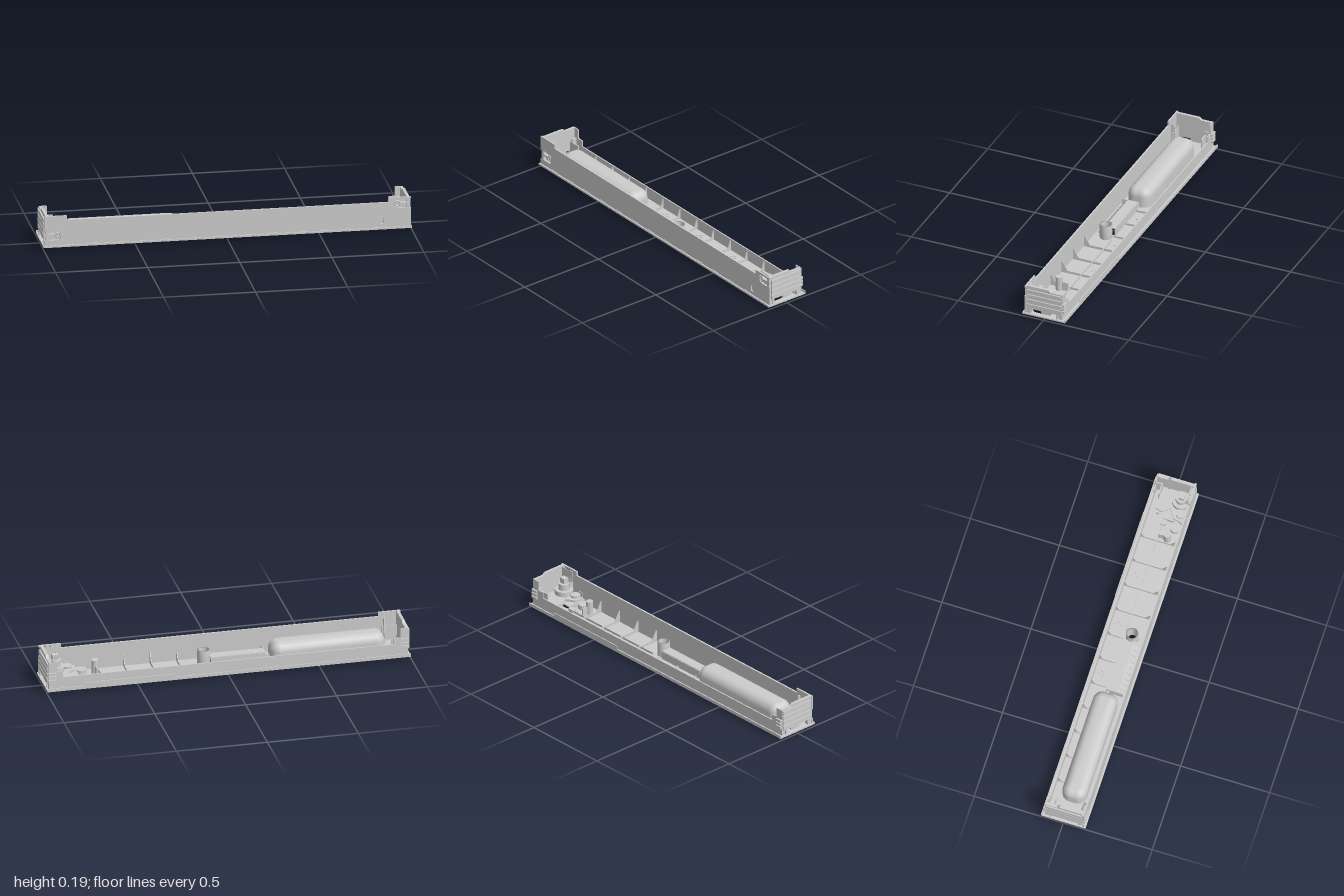
import * as THREE from 'three';

const grey = new THREE.MeshStandardMaterial({ color: 0xcccccc, side: THREE.DoubleSide });
grey.name = 'light grey plastic';

export function createModel() {
  const model = new THREE.Group();
  const add = (name, geo, x = 0, y = 0, z = 0) => {
    const m = new THREE.Mesh(geo, grey);
    m.name = name;
    m.position.set(x, y, z);
    model.add(m);
    return m;
  };
  // Box given by its minimum and maximum corners
  const box = (name, x0, x1, y0, y1, z0, z1) =>
    add(name, new THREE.BoxGeometry(x1 - x0, y1 - y0, z1 - z0), (x0 + x1) / 2, (y0 + y1) / 2, (z0 + z1) / 2);
  const post = (name, x, z, r, y0, y1) =>
    add(name, new THREE.CylinderGeometry(r, r, y1 - y0, 28), x, (y0 + y1) / 2, z);
  const poly = (pts) => new THREE.Shape(pts.map((p) => new THREE.Vector2(...p)));
  const extrude = (shape, depth) =>
    new THREE.ExtrudeGeometry(shape, { depth, bevelEnabled: false, curveSegments: 16 });
  // Horizontal slab from a shape drawn in (x, -z)
  const slab = (name, shape, y0, y1) => add(name, extrude(shape, y1 - y0).rotateX(-Math.PI / 2), 0, y0, 0);
  // Upright plate across the tray from (z, y) points
  const crossPlate = (name, pts, x0, x1) =>
    add(name, extrude(poly(pts.map(([z, y]) => [-z, y])), x1 - x0).rotateY(Math.PI / 2), x0, 0, 0);

  // Points of a rounded rectangle around the origin
  const roundRect = (hx, hz, r, n = 8) => {
    const pts = [];
    [[1, 1], [-1, 1], [-1, -1], [1, -1]].forEach(([sx, sz], q) => {
      for (let i = 0; i <= n; i++) {
        const a = (q + i / n) * Math.PI / 2;
        pts.push([sx * (hx - r) + r * Math.cos(a), sz * (hz - r) + r * Math.sin(a)]);
      }
    });
    return pts;
  };
  const hole = (cx, cz, hx, hz, r) =>
    new THREE.Path(roundRect(hx, hz, r).map(([x, z]) => new THREE.Vector2(cx + x, -cz - z)));
  // Hollow cover, open below, from rounded rings that shrink by [inset, height]
  const cover = (name, cx, cz, hx, hz, r, profile) => {
    const pos = [], idx = [];
    let n = 0;
    profile.forEach(([d, y]) => {
      const ring = roundRect(hx - d, hz - d, Math.max(r - d, 0.008));
      n = ring.length;
      ring.forEach(([x, z]) => pos.push(x, y, z));
    });
    const top = profile.length * n;
    pos.push(0, profile[profile.length - 1][1], 0);
    for (let i = 0; i < n; i++) {
      const j = (i + 1) % n;
      for (let k = 0; k < profile.length - 1; k++) {
        const a = k * n, b = a + n;
        idx.push(a + i, b + i, a + j, a + j, b + i, b + j);
      }
      idx.push(top, top - n + j, top - n + i);
    }
    const g = new THREE.BufferGeometry();
    g.setAttribute('position', new THREE.Float32BufferAttribute(pos, 3));
    g.setIndex(idx);
    g.computeVertexNormals();
    return add(name, g, cx, 0, cz);
  };

  // Floor with openings for the grip, slot, boss and latch
  const floor = poly([[-1, -0.125], [1, -0.125], [1, 0.125], [-1, 0.125]]);
  floor.holes.push(hole(-0.565, 0.012, 0.315, 0.0675, 0.05));
  floor.holes.push(hole(-0.076, 0.043, 0.148, 0.045, 0.02));
  floor.holes.push(hole(0.104, 0.035, 0.025, 0.025, 0.024));
  floor.holes.push(hole(0.89, 0.04, 0.08, 0.045, 0.03));
  slab('floor', floor, 0.012, 0.02);
  // Small pegs in crosses
  for (const cx of [-0.13, 0.165, 0.455])
    for (const [dx, dz] of [[0.015, 0], [-0.015, 0], [0, 0.015], [0, -0.015]])
      post('crossPeg', cx + dx, -0.06 + dz, 0.008, 0.018, 0.024);

  // Long front wall with raised ends and open notches near both ends
  const front = poly([
    [-0.995, 0.018], [0.995, 0.018], [0.995, 0.125], [0.93, 0.125], [0.905, 0.135], [0.905, 0.168],
    [0.93, 0.176], [0.995, 0.176], [0.995, 0.185], [0.873, 0.185], [0.873, 0.16],
    [-0.873, 0.16], [-0.873, 0.185], [-0.995, 0.185], [-0.995, 0.105], [-0.915, 0.105],
    [-0.905, 0.095], [-0.905, 0.06], [-0.915, 0.05], [-0.995, 0.05]]);
  front.holes.push(new THREE.Path([[0.83, 0.04], [0.848, 0.04], [0.848, 0.072], [0.83, 0.072]]
    .map((p) => new THREE.Vector2(...p))));
  add('frontWall', extrude(front, 0.01), 0, 0, 0.104);
  box('frontSlotBack', 0.825, 0.853, 0.035, 0.077, 0.1, 0.104);
  box('frontRightRecess', 0.89, 0.985, 0.12, 0.18, 0.09, 0.094);
  box('frontLeftRecess', -0.985, -0.89, 0.045, 0.11, 0.09, 0.094);
  for (const [x, y] of [[0.922, 0.15], [-0.922, 0.078]]) {
    add('recessRing', new THREE.TorusGeometry(0.014, 0.004, 8, 24), x, y, 0.11);
    add('recessPin', new THREE.CylinderGeometry(0.008, 0.008, 0.02, 20).rotateX(Math.PI / 2), x, y, 0.102);
    box('recessRail', x > 0 ? 0.935 : -0.99, x > 0 ? 0.99 : -0.935, y - 0.005, y + 0.005, 0.094, 0.112);
  }

  // Back wall set in from the flange, with thin flange lips
  box('backWall', -0.985, 0.985, 0.018, 0.085, -0.106, -0.099);
  box('backLip', -1, 1, 0.018, 0.03, -0.125, -0.12);
  box('backLipRise', 0.3, 0.8, 0.028, 0.048, -0.125, -0.12);
  box('frontLip', -1, 1, 0.018, 0.022, 0.119, 0.125);
  for (let i = 0; i < 13; i++) box('frontClip', -0.9 + i * 0.14, -0.85 + i * 0.14, 0.02, 0.024, 0.113, 0.118);

  // End walls: stepped top, feet below, and shallow horizontal bands
  for (const s of [-1, 1]) {
    const span = (a, b) => (s > 0 ? [a, b] : [-b, -a]);
    crossPlate('endWall', [
      [0.114, 0.018], [0.114, 0.185], [-0.025, 0.185], [-0.04, 0.173], [-0.104, 0.173], [-0.104, 0.018],
      [-0.085, 0.018], [-0.08, 0.046], [-0.042, 0.046], [-0.035, 0.03], [0.015, 0.03],
      [0.022, 0.046], [0.075, 0.046], [0.08, 0.018]], ...span(0.972, 0.988));
    for (let i = 0; i < 4; i++) {
      const y = 0.052 + i * 0.0295;
      box('endBand', ...span(0.986, 0.996), y, y + 0.025, -0.1, 0.1);
      if (i < 3) box('backBand', ...span(0.95, 0.99), 0.061 + i * 0.02, 0.075 + i * 0.02, -0.116, -0.104);
    }
    for (const z of [-0.075, 0.085]) box('endFoot', ...span(0.975, 0.993), 0.018, 0.05, z - 0.005, z + 0.005);
    box('backReturn', ...span(0.945, 0.988), 0.08, 0.173, -0.106, -0.099);
    box('backReturnLow', ...span(0.91, 0.95), 0.08, 0.12, -0.106, -0.099);
    box('cornerBracket', ...span(0.905, 0.975), 0.02, 0.1, -0.075, -0.068);
    box('cornerBracketSide', ...span(0.955, 0.962), 0.02, 0.12, -0.1, -0.07);
    crossPlate('cornerGusset', [[0.105, 0.02], [0.105, 0.155], [0.09, 0.155], [0.07, 0.02]], ...span(0.9, 0.907));
  }

  // Cross ribs: low strips with gussets rising on the front and back walls
  for (let i = 0; i < 11; i++) {
    const x = -0.787 + i * 0.146;
    const overGrip = x < -0.25, overSlot = !overGrip && x < 0.14;
    const back = [[-0.1, 0.02], [-0.1, 0.078], [-0.094, 0.078], [-0.08, 0.034]];
    if (overGrip) crossPlate('rib', [...back, [-0.055, 0.03], [-0.055, 0.02]], x, x + 0.004);
    else if (overSlot) crossPlate('rib', [...back, [-0.004, 0.03], [-0.004, 0.02]], x, x + 0.004);
    else crossPlate('rib', [...back, [0.07, 0.034], [0.098, 0.085], [0.105, 0.085], [0.105, 0.02]], x, x + 0.004);
  }
  box('longRib', 0.14, 0.8, 0.02, 0.032, -0.012, -0.008);

  // Hollow rounded grip
  cover('gripPocket', -0.565, 0.012, 0.315, 0.0675, 0.05,
    [[0, 0.014], [0, 0.078], [0.004, 0.095], [0.013, 0.11], [0.026, 0.12], [0.042, 0.125]]);

  // Slot hood, its comb of teeth, and the open boss at its end
  box('hoodTop', -0.225, 0.075, 0.062, 0.067, -0.003, 0.054);
  box('hoodBack', -0.225, 0.075, 0.014, 0.064, -0.006, -0.001);
  box('hoodEnd', -0.228, -0.223, 0.014, 0.065, -0.004, 0.088);
  crossPlate('hoodSlope', [[0.054, 0.067], [0.09, 0.02], [0.086, 0.018], [0.05, 0.062]], -0.225, 0.075);
  for (let i = 0; i < 9; i++) {
    const x = -0.2 + i * 0.034;
    crossPlate('hoodTooth', [[0.054, 0.062], [0.06, 0.062], [0.094, 0.024], [0.094, 0.018], [0.085, 0.018]], x, x + 0.008);
  }
  box('slotLink', -0.255, -0.225, 0.02, 0.05, 0.0, 0.012);
  const ring = [[0.026, 0.014], [0.034, 0.014], [0.034, 0.1], [0.026, 0.1], [0.026, 0.014]];
  add('slotBoss', new THREE.LatheGeometry(ring.map((p) => new THREE.Vector2(...p)), 32), 0.104, 0, 0.035);

  // Latch at the right end: covered recess, plate, knob, posts and foot
  const lever = poly([[0.8, -0.09], [0.96, -0.095], [0.968, 0.02], [0.93, 0.068], [0.84, 0.068], [0.83, 0.03], [0.86, -0.01], [0.81, -0.04]]);
  slab('latchPlate', lever, 0.046, 0.058);
  box('recessCover', 0.8, 0.974, 0.04, 0.046, -0.015, 0.1);
  box('recessSide', 0.8, 0.806, 0.018, 0.042, -0.015, 0.1);
  post('latchHub', 0.915, 0.052, 0.05, 0.03, 0.085);
  post('latchSpindle', 0.915, 0.052, 0.03, 0.018, 0.12);
  box('latchTab', 0.9, 0.935, 0.1, 0.15, 0.04, 0.07);
  box('latchSupport', 0.82, 0.94, 0.02, 0.047, -0.06, -0.045);
  post('latchPivot', 0.845, 0.072, 0.026, 0.02, 0.07);
  post('latchBoss', 0.772, 0.065, 0.03, 0.02, 0.045);
  post('guidePost', 0.7, 0.042, 0.019, 0.02, 0.1);
  box('guideRib', 0.697, 0.703, 0.02, 0.07, -0.01, 0.04);
  box('latchGuide', 0.77, 0.8, 0.02, 0.036, -0.02, 0.01);
  post('foot', 0.698, 0.049, 0.025, 0, 0.014);

  return model;
}
